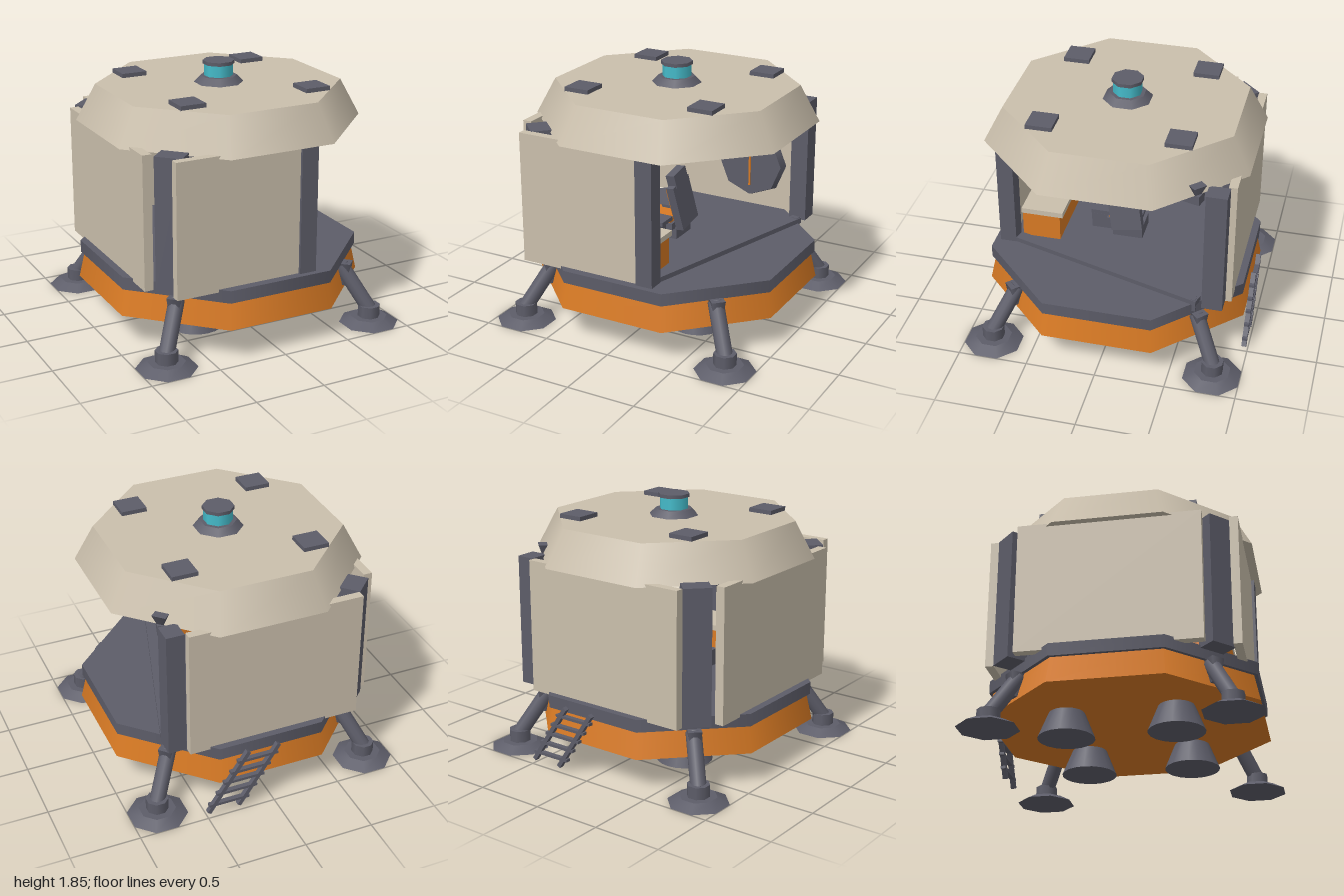
import * as THREE from 'three';

const mat = (name, color) => {
  const m = new THREE.MeshStandardMaterial({ color });
  m.name = name;
  return m;
};

export function createModel() {
  const hull = mat('hullBeige', 0xcabfac);
  const metal = mat('metalGray', 0x5d5d69);
  const orange = mat('orange', 0xd87a24);
  const glass = mat('beaconCyan', 0x45bccb);

  const model = new THREE.Group();
  model.name = 'lander';
  const group = (name, parent = model) => {
    const g = new THREE.Group();
    g.name = name;
    parent.add(g);
    return g;
  };
  const add = (name, geo, material, pos, parent = model) => {
    const m = new THREE.Mesh(geo, material);
    m.name = name;
    m.position.set(...pos);
    parent.add(m);
    return m;
  };
  const box = (name, size, pos, material, parent) =>
    add(name, new THREE.BoxGeometry(...size), material, pos, parent);
  // Eight-sided frustum between two heights; radii are measured to the flats
  const octagon = (name, rTop, rBottom, y0, y1, material, x = 0, z = 0, parent = model) => {
    const k = 1 / Math.cos(Math.PI / 8);
    const geo = new THREE.CylinderGeometry(rTop * k, rBottom * k, y1 - y0, 8);
    geo.rotateY(Math.PI / 8);
    return add(name, geo, material, [x, (y0 + y1) / 2, z], parent);
  };
  // Box beam running between two points
  const beam = (name, a, b, w, h, material, parent = model) => {
    const p = new THREE.Vector3(...a), q = new THREE.Vector3(...b);
    const mid = p.clone().add(q).multiplyScalar(0.5);
    const m = box(name, [w, h, p.distanceTo(q)], mid.toArray(), material, parent);
    m.lookAt(q);
    return m;
  };

  // Base, deck and roof
  octagon('baseSkirt', 0.905, 0.945, 0.24, 0.43, orange);
  octagon('deck', 0.93, 0.93, 0.43, 0.52, metal);
  octagon('roof', 0.8, 0.93, 1.43, 1.69, hull);

  // Roof pads and beacon
  for (const x of [-0.475, 0.475])
    for (const z of [-0.475, 0.475])
      box('roofPad', [0.185, 0.04, 0.185], [x, 1.7, z], metal);
  octagon('beaconBase', 0.12, 0.163, 1.69, 1.737, metal);
  octagon('beaconLight', 0.095, 0.095, 1.737, 1.82, glass);
  octagon('beaconCap', 0.104, 0.104, 1.82, 1.845, metal);

  // Engines and legs
  for (const sx of [-1, 1])
    for (const sz of [-1, 1]) {
      const engine = new THREE.CylinderGeometry(0.125, 0.197, 0.18, 20);
      add('engineNozzle', engine, metal, [sx * 0.377, 0.15, sz * 0.377]);

      const leg = group('leg');
      const fx = sx * 0.802, fz = sz * 0.802;
      octagon('footPad', 0.12, 0.197, 0, 0.045, metal, fx, fz, leg);
      octagon('ankle', 0.073, 0.073, 0.04, 0.13, metal, fx, fz, leg);
      const a = new THREE.Vector3(fx, 0.1, fz);
      const b = new THREE.Vector3(sx * 0.65, 0.41, sz * 0.65);
      const strut = add('strut', new THREE.CylinderGeometry(0.055, 0.055, a.distanceTo(b), 12), metal,
        a.clone().add(b).multiplyScalar(0.5).toArray(), leg);
      strut.quaternion.setFromUnitVectors(new THREE.Vector3(0, 1, 0), b.clone().sub(a).normalize());
      add('bracket', new THREE.CylinderGeometry(0.068, 0.04, 0.17, 4), metal,
        [sx * 0.67, 0.35, sz * 0.67], leg);
    }

  // Cabin walls
  const wallH = 0.95, wallY = 0.975;
  box('backWall', [1.26, wallH, 0.06], [-0.05, wallY, -0.85], hull);
  box('frontWall', [0.93, wallH, 0.06], [-0.285, wallY, 0.84], hull);
  box('leftSideWall', [0.065, wallH, 1.27], [-0.845, wallY, 0], hull);

  // Corner posts
  for (const z of [-0.7, 0.7])
    box('cornerPost', [0.15, wallH, 0.19], [-0.7, wallY, z], metal).rotation.y = Math.sign(z) * Math.PI / 4;
  box('frontDoorPost', [0.125, 0.92, 0.12], [0.23, 0.975, 0.83], metal);
  box('backDoorPost', [0.13, 0.93, 0.145], [0.655, 0.985, -0.765], metal);

  // Frame of the open side
  beam('lintel', [0.25, 1.395, 0.76], [0.67, 1.395, -0.66], 0.08, 0.07, metal);
  beam('sill', [0.25, 0.535, 0.76], [0.67, 0.535, -0.66], 0.08, 0.04, metal);
  const gusset = new THREE.CylinderGeometry(0.07, 0.03, 0.08, 4);
  add('lintelGusset', gusset, metal, [0.665, 1.46, -0.62]);
  box('sillEnd', [0.05, 0.1, 0.035], [0.67, 0.51, -0.63], metal);
  box('wallRib', [0.03, 0.91, 0.08], [-0.8, 0.975, 0], metal);
  box('ceilingPanel', [0.5, 0.05, 0.5], [0, 1.41, 0.05], orange);

  // Hatch on the side wall: rim, coloured ring, door and knob
  const hatch = group('sideHatch');
  hatch.position.set(-0.78, 0.895, -0.155);
  [['rim', 0.325, 0.08, 0, metal], ['ring', 0.283, 0.008, 0.043, orange],
    ['door', 0.235, 0.008, 0.05, metal], ['knob', 0.04, 0.02, 0.06, metal]].forEach(([name, r, t, x, m]) => {
    const geo = new THREE.CylinderGeometry(r, r, t, name === 'knob' ? 16 : 8);
    geo.rotateZ(-Math.PI / 2);
    add(name, geo, m, [x, 0, 0], hatch);
  });

  // Hatch on the back wall
  const backHatch = group('backHatch');
  backHatch.position.set(0.225, 0.875, -0.79);
  const lid = new THREE.CylinderGeometry(0.255, 0.275, 0.07, 8);
  lid.rotateX(Math.PI / 2);
  add('lid', lid, metal, [0, 0, 0], backHatch);
  box('handle', [0.015, 0.36, 0.01], [0, 0, 0.038], orange, backHatch);

  // Bunk along the front wall
  const bunk = group('bunk');
  box('bunkBase', [0.78, 0.2, 0.28], [-0.2, 0.62, 0.605], orange, bunk);
  box('mattress', [0.8, 0.04, 0.31], [-0.2, 0.74, 0.595], hull, bunk);
  box('pillow', [0.2, 0.07, 0.24], [-0.45, 0.82, 0.625], hull, bunk).rotation.x = 0.38;

  // Pilot seat facing the side hatch
  const seat = group('pilotSeat');
  box('pedestal', [0.2, 0.09, 0.22], [-0.05, 0.575, -0.01], metal, seat);
  box('console', [0.18, 0.12, 0.19], [-0.1, 0.595, 0.18], metal, seat);
  box('seatBase', [0.28, 0.05, 0.24], [-0.1, 0.64, 0.03], metal, seat);
  box('seatCushion', [0.26, 0.03, 0.22], [-0.11, 0.68, 0.03], orange, seat);
  box('armrest', [0.18, 0.03, 0.15], [-0.06, 0.7, 0.195], metal, seat);
  box('armrest', [0.18, 0.03, 0.07], [-0.06, 0.7, -0.08], metal, seat);
  const back = group('backrest', seat);
  back.position.set(0.05, 0.79, 0.01);
  back.rotation.set(0.17, 0, 0.16);
  box('backPanel', [0.06, 0.34, 0.23], [0, 0, 0], metal, back);
  box('backCushion', [0.02, 0.3, 0.19], [-0.038, 0, 0], orange, back);
  box('headrest', [0.07, 0.1, 0.17], [0, 0.2, -0.01], metal, back);

  // Slanted ladder behind the base
  const ladder = group('ladder');
  for (const dx of [0, 0.225])
    beam('ladderRail', [-0.03 + dx, 0.48, -0.975], [0.265 + dx, 0.035, -0.975], 0.035, 0.03, metal, ladder);
  for (const y of [0.095, 0.18, 0.26, 0.335, 0.415])
    box('ladderRung', [0.3, 0.02, 0.035], [0.4 - 0.663 * y, y, -0.975], metal, ladder);

  return model;
}
